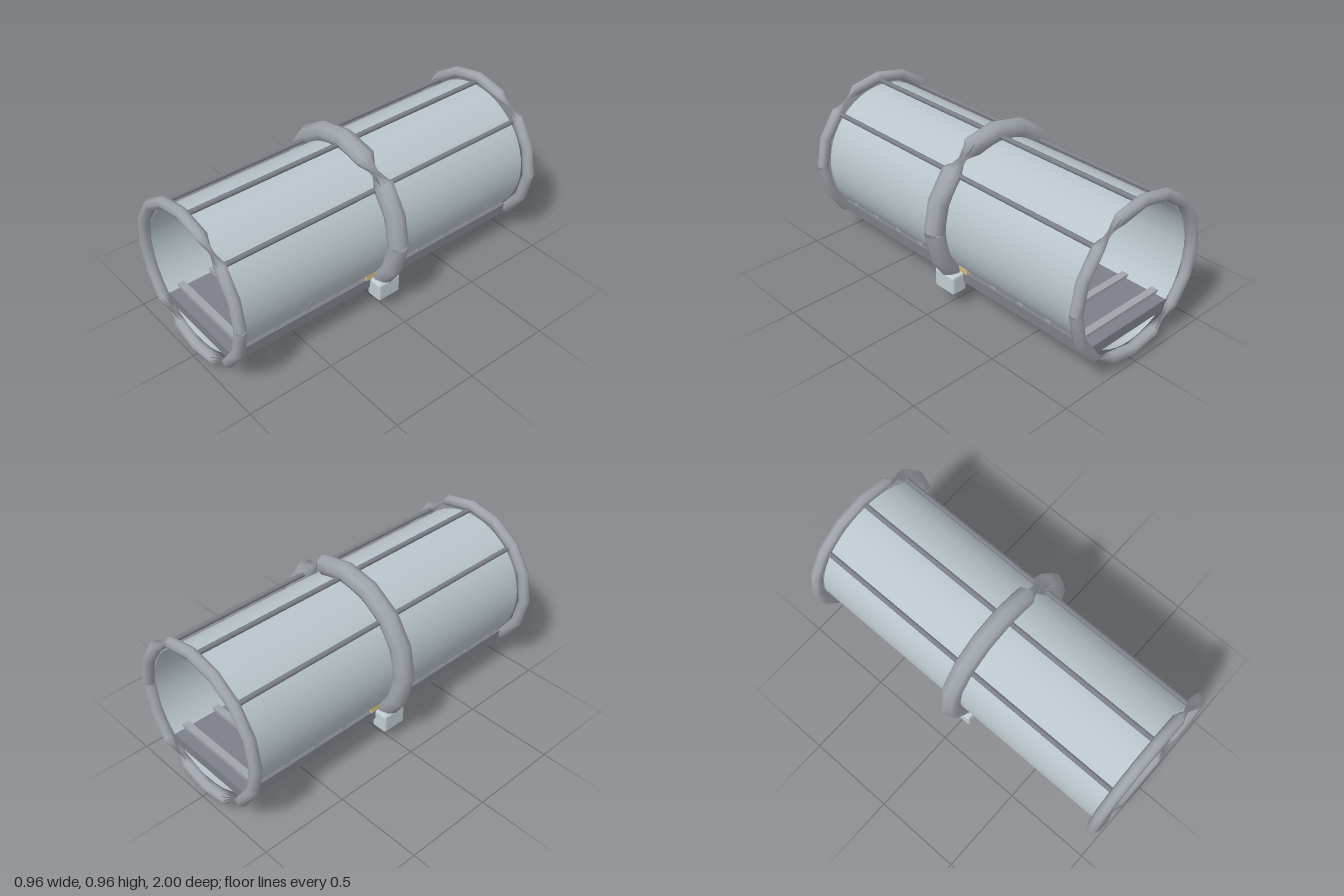
import * as THREE from 'three';
import { RoundedBoxGeometry } from 'three/addons/geometries/RoundedBoxGeometry.js';

const CY = 0.482; // height of the tunnel axis

function material(name, color, side = THREE.FrontSide) {
  const m = new THREE.MeshStandardMaterial({ color, side });
  m.name = name;
  return m;
}

// Sixteen-segment hoop, split at the +x side, with three half-turn pinches
function hoopGeometry(radius, tube) {
  const segs = 16, sides = 8, pos = [], idx = [];
  const pinched = [3, 11, 14]; // hoop stations where the section turns over
  let twist = 0;
  for (let i = 0; i <= segs; i++) {
    const a = (i / segs) * Math.PI * 2;
    // open ends are cut square to their own straight segment
    const tilt = i === 0 ? Math.PI / segs : i === segs ? -Math.PI / segs : 0;
    if (pinched.includes(i)) twist += Math.PI;
    for (let j = 0; j < sides; j++) {
      const b = (j / sides) * Math.PI * 2 + twist;
      const out = Math.cos(b) * tube;
      pos.push(
        Math.cos(a) * radius + Math.cos(a + tilt) * out,
        Math.sin(a) * radius + Math.sin(a + tilt) * out,
        Math.sin(b) * tube
      );
      if (i < segs) {
        const k = (j + 1) % sides;
        const p = i * sides + j, q = i * sides + k;
        idx.push(p, p + sides, q, q, p + sides, q + sides);
      }
    }
  }
  const g = new THREE.BufferGeometry();
  g.setAttribute('position', new THREE.Float32BufferAttribute(pos, 3));
  g.setIndex(idx);
  g.computeVertexNormals();
  return g;
}

export function createModel() {
  const group = new THREE.Group();
  group.name = 'tunnelModule';

  const shellMat = material('paleBlueGrey', 0xb9c5cb, THREE.DoubleSide);
  const hoopMat = material('steelGrey', 0x9fa4ac, THREE.DoubleSide);
  const floorMat = material('darkGrey', 0x7c7f88);
  const footMat = material('lightBlueGrey', 0xc0ccd2);
  const lampMat = material('sand', 0xd4bb85);

  const add = (name, geometry, mat, x = 0, y = 0, z = 0) => {
    const mesh = new THREE.Mesh(geometry, mat);
    mesh.name = name;
    mesh.position.set(x, y, z);
    group.add(mesh);
    return mesh;
  };

  // Open tunnel shell
  const shell = new THREE.CylinderGeometry(0.385, 0.385, 1.9, 48, 1, true).rotateX(Math.PI / 2);
  add('shell', shell, shellMat, 0, CY, 0);

  // Hoops at the middle and both ends
  add('middleHoop', hoopGeometry(0.425, 0.055), hoopMat, 0, CY, 0);
  const endHoop = hoopGeometry(0.425, 0.032);
  add('frontHoop', endHoop, hoopMat, 0, CY, 0.968);
  add('backHoop', endHoop, hoopMat, 0, CY, -0.968);

  // Rods along the roof
  const rod = new THREE.CylinderGeometry(0.0135, 0.0135, 1.92, 10).rotateX(Math.PI / 2);
  for (const deg of [45, 90, 135]) {
    const a = THREE.MathUtils.degToRad(deg);
    add('roofRod', rod, floorMat, Math.cos(a) * 0.41, CY + Math.sin(a) * 0.41, 0);
  }

  // Floor with raised cross slats
  add('floor', new THREE.BoxGeometry(0.6, 0.058, 1.9), floorMat, 0, 0.184, 0);
  const slat = new THREE.BoxGeometry(0.58, 0.022, 0.04);
  for (let i = 0; i < 10; i++) {
    add('floorSlat', slat, hoopMat, 0, 0.222, (i - 4.5) * 0.193);
  }

  // Feet, lamps and floor blocks on both sides
  const foot = new RoundedBoxGeometry(0.095, 0.113, 0.145, 3, 0.014);
  const lamp = new THREE.SphereGeometry(0.03, 20, 14);
  const block = new THREE.BoxGeometry(0.035, 0.038, 0.21);
  for (const s of [1, -1]) {
    add('foot', foot, footMat, s * 0.327, 0.153, 0);
    add('lamp', lamp, lampMat, s * 0.232, 0.735, 0);
    add('floorBlock', block, lampMat, s * 0.287, 0.231, 0);
  }

  return group;
}
